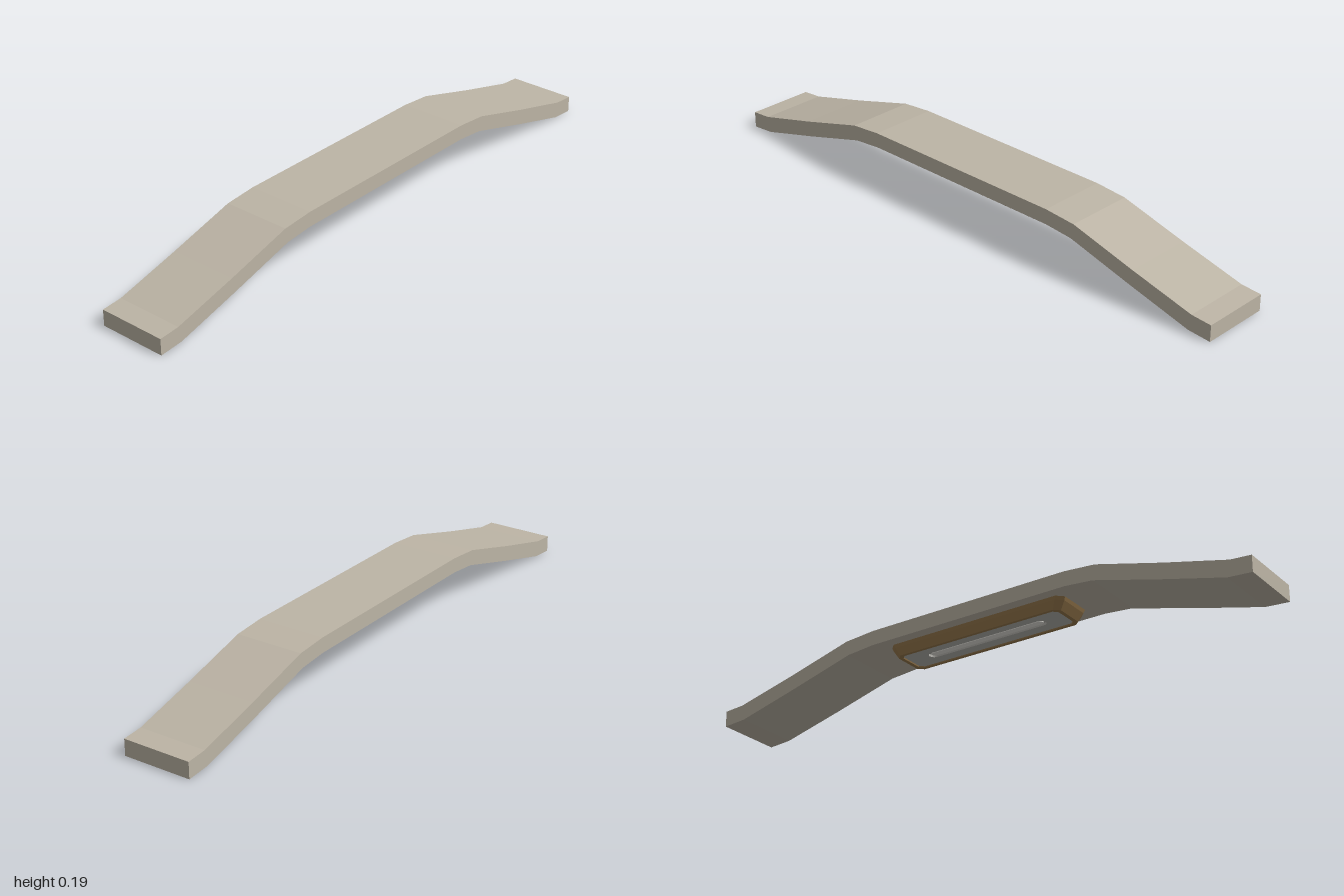
import * as THREE from 'three';

const mat = (name, color) => {
  const m = new THREE.MeshStandardMaterial({ color });
  m.name = name;
  return m;
};

// Rectangle in x/z with cut corners, as points [x, z]
const cutRect = (a, b, c) => [
  [a, b - c], [a - c, b], [c - a, b], [-a, b - c],
  [-a, c - b], [c - a, -b], [a - c, -b], [a, c - b],
];

// Walls between successive cut-corner rings, with flat facets
function loftRings(rings) {
  const pos = [];
  for (let r = 0; r < rings.length - 1; r++) {
    const [p, q] = [rings[r], rings[r + 1]];
    const P = cutRect(p.a, p.b, p.c), Q = cutRect(q.a, q.b, q.c);
    for (let i = 0; i < 8; i++) {
      const j = (i + 1) % 8;
      const A = [P[i][0], p.y, P[i][1]], B = [P[j][0], p.y, P[j][1]];
      const C = [Q[j][0], q.y, Q[j][1]], D = [Q[i][0], q.y, Q[i][1]];
      pos.push(...A, ...B, ...C, ...A, ...C, ...D);
    }
  }
  const g = new THREE.BufferGeometry();
  g.setAttribute('position', new THREE.Float32BufferAttribute(pos, 3));
  g.computeVertexNormals();
  return g;
}

// Thin horizontal plate from a shape drawn in x/z, top at height y + depth
function plate(shape, y, depth) {
  const g = new THREE.ExtrudeGeometry(shape, { depth, bevelEnabled: false, curveSegments: 6 });
  g.rotateX(-Math.PI / 2);
  g.translate(0, y, 0);
  return g;
}

// Slot outline with round ends
function slot(halfLength, r, Type = THREE.Shape) {
  const s = new Type();
  s.absarc(halfLength - r, 0, r, -Math.PI / 2, Math.PI / 2, false);
  s.absarc(r - halfLength, 0, r, Math.PI / 2, Math.PI * 1.5, false);
  s.closePath();
  return s;
}

export function createModel() {
  const model = new THREE.Group();
  const stone = mat('warm grey', 0xbdb5a6);
  const brass = mat('dull brass', 0x96784c);
  brass.side = THREE.DoubleSide;
  const panelGrey = mat('panel grey', 0xb4b2ac);
  const pale = mat('pale light', 0xf3f1ea);

  const add = (name, geometry, material) => {
    const mesh = new THREE.Mesh(geometry, material);
    mesh.name = name;
    model.add(mesh);
  };

  // Bent band: half profiles mirrored in x
  const top = [[0.37, 0.188], [0.48, 0.179], [0.71, 0.116], [0.93, 0.06], [1, 0.055]];
  const bottom = [[0.37, 0.137], [0.47, 0.128], [0.7, 0.064], [0.92, 0.006], [1, 0]];
  const mirror = (pts) => pts.map(([x, y]) => [-x, y]);
  const outline = [
    ...bottom, ...[...top].reverse(), ...mirror(top), ...mirror(bottom).reverse(),
  ].map(([x, y]) => new THREE.Vector2(x, y));
  const band = new THREE.ExtrudeGeometry(new THREE.Shape(outline), { depth: 0.234, bevelEnabled: false });
  band.translate(0, 0, -0.117);
  add('bentBand', band, stone);

  // Tapered frame below the band, with a recessed lip
  add('lampFrame', loftRings([
    { a: 0.335, b: 0.08, c: 0.022, y: 0.138 },
    { a: 0.33, b: 0.077, c: 0.022, y: 0.126 },
    { a: 0.313, b: 0.066, c: 0.018, y: 0.099 },
    { a: 0.3, b: 0.056, c: 0.014, y: 0.099 },
    { a: 0.298, b: 0.054, c: 0.014, y: 0.106 },
  ]), brass);

  // Panel inside the frame, with a slot for the light
  const panel = new THREE.Shape(cutRect(0.299, 0.055, 0.014).map(([x, z]) => new THREE.Vector2(x, z)));
  panel.holes.push(slot(0.225, 0.018, THREE.Path));
  add('lampPanel', plate(panel, 0.103, 0.009), panelGrey);

  // Light strip set back in the slot
  add('slotBacking', plate(slot(0.227, 0.02), 0.111, 0.004), panelGrey);
  add('lightStrip', plate(slot(0.215, 0.011), 0.105, 0.007), pale);

  return model;
}
